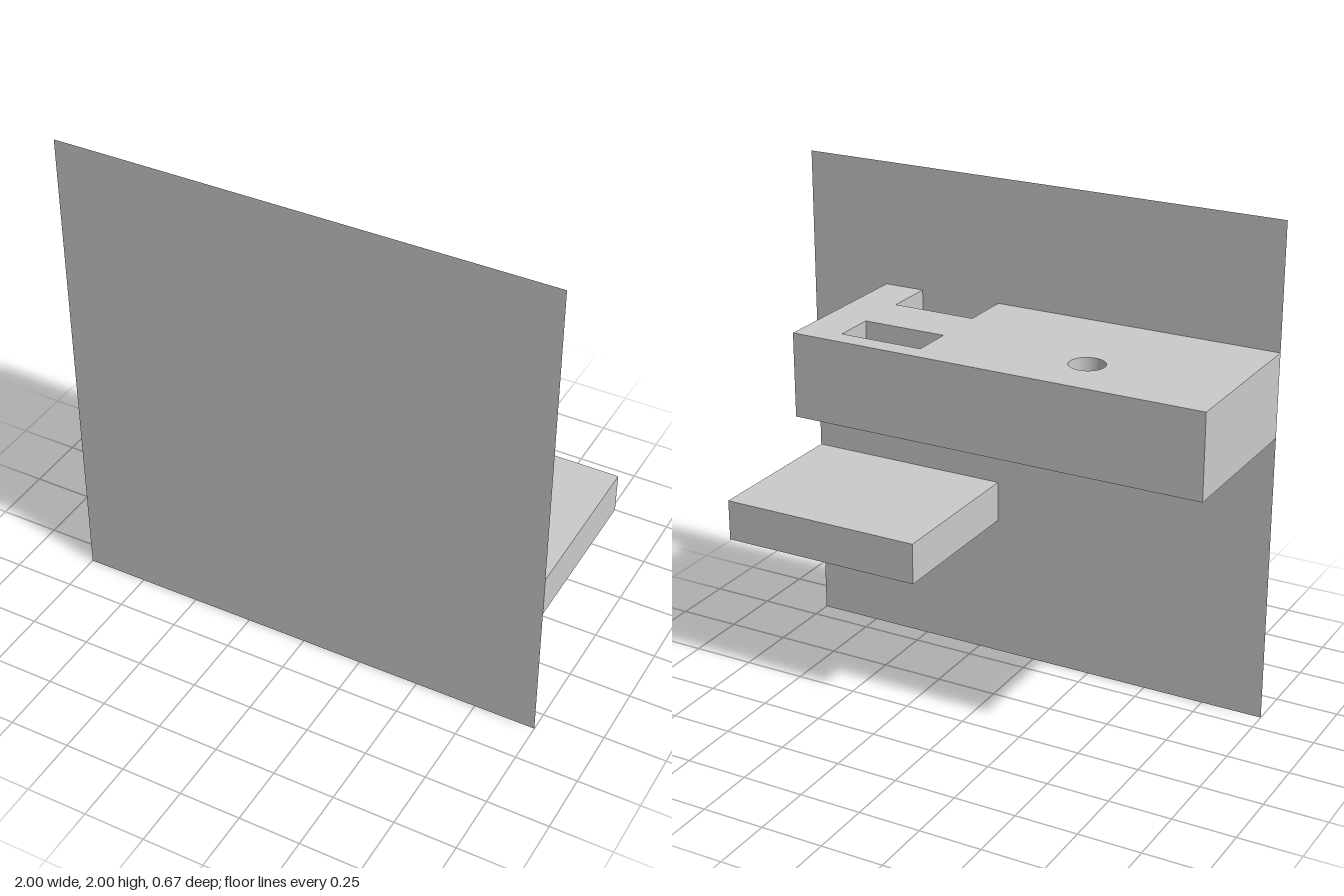
import * as THREE from 'three';
import { toCreasedNormals } from 'three/addons/utils/BufferGeometryUtils.js';

const HALF_DEPTH = 0.333;

export function createModel() {
  const group = new THREE.Group();
  const material = new THREE.MeshStandardMaterial({ color: 0xcccccc });
  const add = (name, geometry, mat = material) => {
    const mesh = new THREE.Mesh(geometry, mat);
    mesh.name = name;
    group.add(mesh);
    return mesh;
  };
  // Outline from plan points [x, z]; shape y is -z
  const plan = (points) => points.map(([x, z]) => new THREE.Vector2(x, -z));

  // Thin square panel across the front
  const sheet = material.clone();
  sheet.side = THREE.DoubleSide;
  add('frontPanel', new THREE.PlaneGeometry(2, 2), sheet).position.set(0, 1, HALF_DEPTH);

  // Upper block: notched front edge, rectangular slot and round hole
  const outline = new THREE.Shape(plan([
    [-1, HALF_DEPTH], [0.163, HALF_DEPTH], [0.163, 0.13], [0.5, 0.13],
    [0.5, HALF_DEPTH], [0.665, HALF_DEPTH], [0.665, -HALF_DEPTH], [-1, -HALF_DEPTH],
  ]));
  const slot = new THREE.Path(plan([
    [0.163, -0.088], [0.163, -0.255], [0.5, -0.255], [0.5, -0.088],
  ]));
  const hole = new THREE.Path().absarc(-0.44, 0.107, 0.069, 0, Math.PI * 2, true);
  outline.holes.push(slot, hole);
  const block = new THREE.ExtrudeGeometry(outline, { depth: 0.333, bevelEnabled: false, curveSegments: 32 });
  block.rotateX(-Math.PI / 2);
  add('upperBlock', toCreasedNormals(block, 0.6)).position.y = 1.17;

  // Lower shelf
  add('lowerShelf', new THREE.BoxGeometry(0.837, 0.166, HALF_DEPTH * 2))
    .position.set(0.5815, 0.669, 0);

  return group;
}
